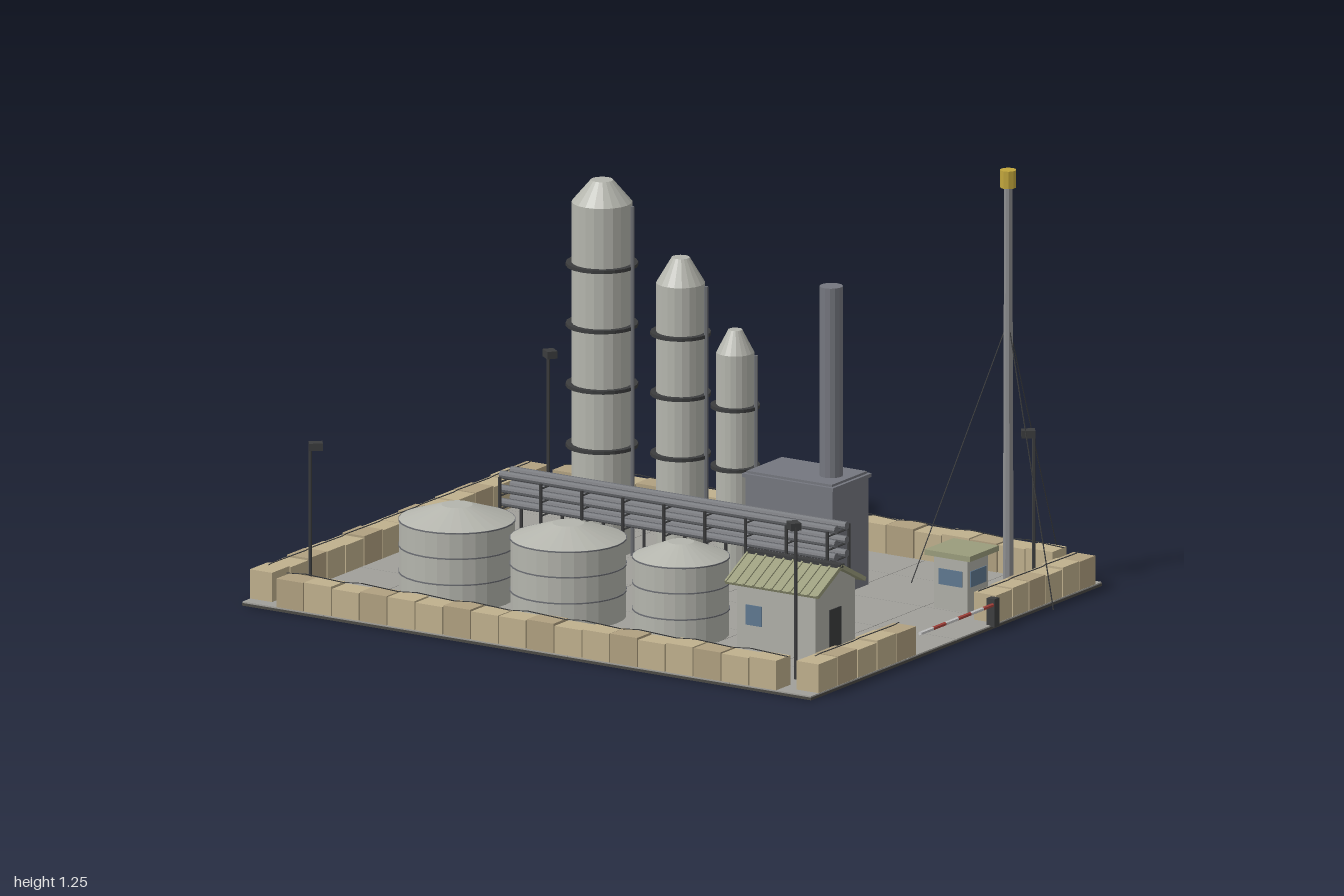
import * as THREE from 'three';

const mat = (color) => new THREE.MeshStandardMaterial({ color, flatShading: true, side: THREE.DoubleSide });
const M = {
  steel: mat(0xb4b5ad), dark: mat(0x3c3d3e), pipe: mat(0x6d6f74), furnace: mat(0x75777f),
  concrete: mat(0xa09f9a), under: mat(0x4a4844), sandA: mat(0xbfb08d), sandB: mat(0xb0a080),
  wall: mat(0xb0b0a8), roof: mat(0x9a9c7c), glass: mat(0x5f7890), yellow: mat(0xc2a63c),
  red: mat(0xa8433c), white: mat(0xdddddd), mast: mat(0x8d8e90),
};

export function createModel() {
  const root = new THREE.Group();
  root.name = 'refineryCompound';

  const group = (name, parent = root) => {
    const g = new THREE.Group();
    g.name = name;
    parent.add(g);
    return g;
  };
  const add = (parent, name, geo, material, x = 0, y = 0, z = 0) => {
    const m = new THREE.Mesh(geo, material);
    m.name = name;
    m.position.set(x, y, z);
    parent.add(m);
    return m;
  };
  // box given by its ranges on each axis
  const box = (parent, name, material, x0, x1, y0, y1, z0, z1) =>
    add(parent, name, new THREE.BoxGeometry(x1 - x0, y1 - y0, z1 - z0), material,
      (x0 + x1) / 2, (y0 + y1) / 2, (z0 + z1) / 2);
  // round bar between two points
  const bar = (parent, name, material, a, b, r, sides = 6) => {
    const p = new THREE.Vector3(...a), q = new THREE.Vector3(...b);
    const m = add(parent, name, new THREE.CylinderGeometry(r, r, p.distanceTo(q), sides), material);
    m.position.copy(p).add(q).multiplyScalar(0.5);
    m.quaternion.setFromUnitVectors(new THREE.Vector3(0, 1, 0), q.sub(p).normalize());
    return m;
  };
  const lathe = (pts, sides) => new THREE.LatheGeometry(pts.map((p) => new THREE.Vector2(...p)), sides);

  // ground: dark base with a 7 x 6 grid of concrete panels
  const G = 0.012;
  const ground = group('ground');
  box(ground, 'base', M.under, -1, 0.96, 0, 0.008, -0.72, 0.82);
  const px = 1.96 / 7, pz = 1.54 / 6;
  for (let i = 0; i < 7; i++) {
    for (let j = 0; j < 6; j++) {
      const x = -1 + i * px, z = -0.72 + j * pz;
      box(ground, 'panel', M.concrete, x + 0.001, x + px - 0.001, 0.006, G, z + 0.001, z + pz - 0.001);
    }
  }

  // perimeter wall of separate blocks, with zigzag wire on top
  const wallRun = (name, from, to, fixed, alongX) => {
    const g = group(name);
    const n = Math.round((to - from) / 0.096), step = (to - from) / n;
    const at = (t, y, off) => (alongX ? [t, y, fixed + off] : [fixed + off, y, t]);
    for (let i = 0; i < n; i++) {
      const [w, h, d] = [step - 0.004, 0.093 + 0.003 * Math.sin(i * 2.3), 0.076];
      add(g, 'block', new THREE.BoxGeometry(alongX ? w : d, h, alongX ? d : w),
        i % 3 ? M.sandA : M.sandB, ...at(from + (i + 0.5) * step, 0.004 + h / 2, 0));
    }
    const peak = (i) => at(from + i * step, i % 2 ? 0.122 : 0.1, i % 2 ? 0.028 : -0.022);
    for (let i = 0; i < n; i++) bar(g, 'wire', M.dark, peak(i), peak(i + 1), 0.0016, 4);
  };
  wallRun('frontWall', -0.885, 0.84, 0.78, true);
  wallRun('backWall', -0.885, 0.84, -0.682, true);
  wallRun('rightWall', -0.69, 0.78, -0.962, false);
  wallRun('leftWallBack', -0.69, -0.16, 0.92, false);
  wallRun('leftWallFront', 0.26, 0.78, 0.92, false);

  // gate barrier in the gap of the left wall
  const gate = group('gateBarrier');
  box(gate, 'post', M.dark, 0.945, 0.972, 0.008, 0.092, -0.158, -0.132);
  for (let i = 0; i < 6; i++) {
    const z = -0.145 + i * 0.066;
    bar(gate, 'arm', i % 2 ? M.white : M.red, [0.965, 0.074, z], [0.965, 0.074, z + 0.066], 0.006);
  }

  // distillation towers: [x, z, radius, shoulder, top]
  for (const [x, z, r, shoulder, top] of [
    [-0.442, -0.228, 0.088, 1.055, 1.12],
    [-0.197, -0.268, 0.071, 0.84, 0.915],
    [0.013, -0.234, 0.055, 0.67, 0.737],
  ]) {
    const g = group('tower');
    g.position.set(x, 0, z);
    add(g, 'shell', lathe([[r, G], [r, shoulder], [r * 0.37, top], [0, top]], 20), M.steel);
    for (let y = 0.15; y < shoulder - 0.1; y += 0.18) {
      const ring = lathe([[r, -0.005], [r + 0.017, -0.005], [r + 0.017, 0.005], [r, 0.005]], 20);
      add(g, 'walkway', ring, M.dark, 0, y, 0);
    }
    bar(g, 'downPipe', M.pipe, [r + 0.017, G, 0], [r + 0.017, shoulder, 0], 0.006);
  }

  // storage tanks: [x, z, radius]
  for (const [x, z, r] of [[-0.51, 0.435, 0.168], [-0.127, 0.435, 0.168], [0.26, 0.433, 0.14]]) {
    const g = group('tank');
    g.position.set(x, 0, z);
    add(g, 'shell', lathe([[r, G], [r, 0.246], [r * 0.27, 0.288], [0, 0.288]], 28), M.steel);
    for (const y of [0.09, 0.168, 0.244]) {
      add(g, 'band', lathe([[r, -0.002], [r + 0.002, -0.002], [r + 0.002, 0.002], [r, 0.002]], 28), M.pipe, 0, y, 0);
    }
  }

  // furnace block with tall stack
  const furnace = group('furnace');
  box(furnace, 'body', M.furnace, 0.11, 0.41, G, 0.335, -0.33, -0.138);
  box(furnace, 'lid', M.furnace, 0.103, 0.416, 0.332, 0.343, -0.337, -0.131);
  box(furnace, 'lidTop', M.furnace, 0.113, 0.406, 0.343, 0.35, -0.327, -0.141);
  add(furnace, 'stack', new THREE.CylinderGeometry(0.034, 0.034, 0.575, 14), M.furnace, 0.345, 0.628, -0.232);

  // pipe rack: two columns of three pipes on paired posts
  const rack = group('pipeRack');
  for (const y of [0.2, 0.24, 0.282]) {
    for (const z of [0.008, 0.064]) bar(rack, 'pipe', M.pipe, [-0.6, y, z], [0.555, y, z], 0.012, 10);
  }
  for (let i = 0; i < 9; i++) {
    const x = -0.585 + i * 0.141;
    for (const z of [-0.02, 0.093]) bar(rack, 'post', M.dark, [x, G, z], [x, 0.282, z], 0.005);
    for (const y of [0.186, 0.226, 0.267]) bar(rack, 'crossbeam', M.dark, [x, y, -0.02], [x, y, 0.093], 0.003, 4);
  }

  // small building with a ribbed gable roof
  const house = group('building');
  const gable = new THREE.Shape([[-0.105, G], [0.105, G], [0.105, 0.215], [0, 0.262], [-0.105, 0.215]]
    .map((p) => new THREE.Vector2(...p)));
  const walls = add(house, 'walls', new THREE.ExtrudeGeometry(gable, { depth: 0.27, bevelEnabled: false }), M.wall, 0.478, 0, 0.367);
  walls.rotation.y = Math.PI / 2;
  for (const s of [-1, 1]) {
    const slope = group('roofSlope', house);
    slope.position.set(0.611, 0.238, 0.367 + s * 0.062);
    slope.rotation.x = s * Math.atan2(0.065, 0.125);
    add(slope, 'sheet', new THREE.BoxGeometry(0.322, 0.008, 0.142), M.roof);
    for (let i = 0; i <= 10; i++) {
      add(slope, 'rib', new THREE.BoxGeometry(0.006, 0.006, 0.142), M.roof, -0.158 + i * 0.0316, 0.005, 0);
    }
  }
  box(house, 'ridge', M.dark, 0.45, 0.772, 0.268, 0.279, 0.355, 0.379);
  box(house, 'door', M.dark, 0.745, 0.751, G, 0.145, 0.338, 0.4);
  box(house, 'window', M.glass, 0.51, 0.565, 0.085, 0.145, 0.47, 0.475);

  // gate booth
  const booth = group('booth');
  box(booth, 'body', M.wall, 0.71, 0.825, G, 0.17, -0.325, -0.215);
  box(booth, 'roof', M.roof, 0.689, 0.845, 0.17, 0.186, -0.35, -0.197);
  box(booth, 'sideWindow', M.glass, 0.822, 0.828, 0.085, 0.132, -0.312, -0.228);
  box(booth, 'frontWindow', M.glass, 0.728, 0.808, 0.085, 0.132, -0.218, -0.212);

  // radio mast with guy wires
  const mast = group('mast');
  mast.position.set(0.75, 0, -0.546);
  add(mast, 'pole', new THREE.CylinderGeometry(0.012, 0.016, 1.2, 8), M.mast, 0, 0.605, 0);
  add(mast, 'beacon', new THREE.CylinderGeometry(0.024, 0.024, 0.052, 10), M.yellow, 0, 1.225, 0);
  for (let i = 0; i < 3; i++) {
    const a = Math.PI + (i * 2 * Math.PI) / 3;
    bar(mast, 'guyWire', M.dark, [0, 0.8, 0], [0.285 * Math.sin(a), 0.003, 0.28 * Math.cos(a)], 0.0018, 4);
  }

  // corner floodlights facing the yard
  for (const sx of [-1, 1]) {
    for (const sz of [-1, 1]) {
      const g = group('floodlight');
      g.position.set(-0.02 + sx * 0.836, 0, 0.05 + sz * 0.63);
      g.rotation.y = Math.atan2(-sx * 0.836, -sz * 0.63);
      bar(g, 'pole', M.dark, [0, G, 0], [0, 0.465, 0], 0.005);
      add(g, 'lamp', new THREE.BoxGeometry(0.032, 0.022, 0.04), M.dark, 0, 0.466, 0.016);
    }
  }
  return root;
}
